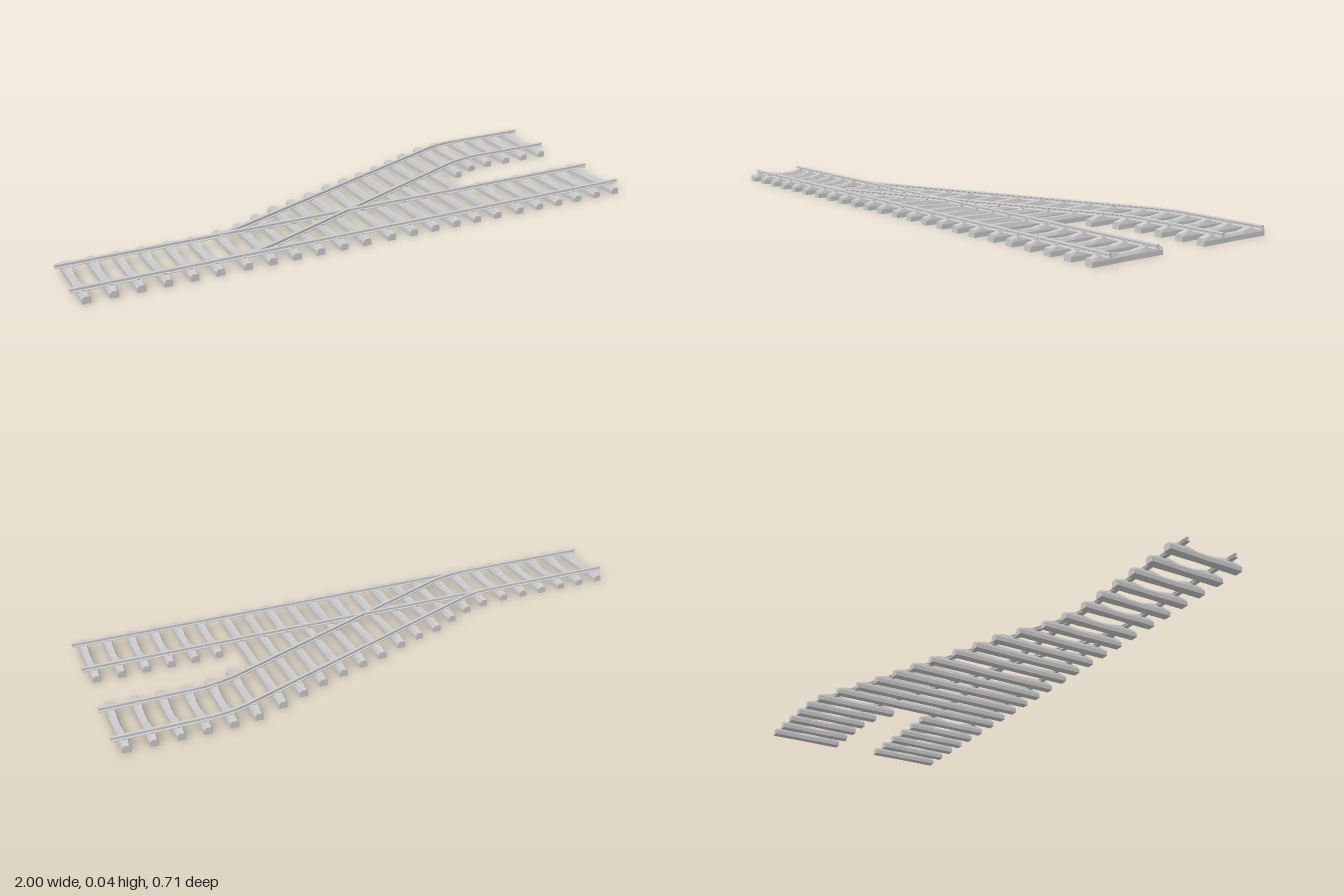
import * as THREE from 'three';

const material = new THREE.MeshStandardMaterial({ color: 0xcccccc, flatShading: true });

// Lofts rings of [side, height] along a ground path of [x, z] points, capped at both ends
function loft(path, ringAt) {
  const pos = [];
  const rings = path.map(([x, z], i) => {
    const a = path[Math.max(i - 1, 0)], b = path[Math.min(i + 1, path.length - 1)];
    const d = new THREE.Vector2(b[0] - a[0], b[1] - a[1]).normalize();
    return ringAt(i).map(([s, y]) => [x - s * d.y, y, z + s * d.x]);
  });
  const n = rings[0].length;
  for (let k = 0; k < rings.length - 1; k++) {
    const a = rings[k], b = rings[k + 1];
    for (let i = 0; i < n; i++) {
      const j = (i + 1) % n;
      pos.push(...a[i], ...b[i], ...b[j], ...a[i], ...b[j], ...a[j]);
    }
  }
  const last = rings.length - 1;
  const outline = ringAt(0).map(([s, y]) => new THREE.Vector2(s, y));
  for (const [p, q, r] of THREE.ShapeUtils.triangulateShape(outline, [])) {
    pos.push(...rings[0][p], ...rings[0][q], ...rings[0][r]);
    pos.push(...rings[last][r], ...rings[last][q], ...rings[last][p]);
  }
  const g = new THREE.BufferGeometry();
  g.setAttribute('position', new THREE.Float32BufferAttribute(pos, 3));
  g.computeVertexNormals();
  return g;
}

function add(parent, name, geometry) {
  const mesh = new THREE.Mesh(geometry, material);
  mesh.name = name;
  parent.add(mesh);
  return mesh;
}

// Rail section: wide foot, thin web, rounded head; listed counter-clockwise
const half = [[0.008, 0.025], [0.008, 0.027], [0.0025, 0.029], [0.0025, 0.033],
  [0.0055, 0.0345], [0.0055, 0.038], [0.004, 0.0392]];
const railRing = [...half, ...half.map(([s, y]) => [-s, y]).reverse()];

// Diverging rail: a straight slope with an eased bend at each end
function divergingPath(start, xa, za, xb, zb, ease) {
  const slope = (zb - za) / (xb - xa);
  const bend = (x, z, inSlope, outSlope) => new THREE.QuadraticBezierCurve(
    new THREE.Vector2(x - ease, z - ease * inSlope),
    new THREE.Vector2(x, z),
    new THREE.Vector2(x + ease, z + ease * outSlope),
  ).getPoints(8).map((p) => [p.x, p.y]);
  const path = [...bend(xa, za, 0, slope), ...bend(xb, zb, slope, 0), [1, zb]];
  return path.filter(([x]) => x >= start);
}

function zOnPath(path, x) {
  for (let i = 0; i < path.length - 1; i++) {
    const [x0, z0] = path[i], [x1, z1] = path[i + 1];
    if (x >= x0 && x <= x1) return z0 + (z1 - z0) * (x - x0) / (x1 - x0);
  }
  return null;
}

// Sleeper: bevelled block, sloped at its ends and waisted in the middle
function sleeperGeometry(x, zBack, zFront) {
  const len = zFront - zBack;
  const dip = len > 0.3 ? 0.026 : 0.0235;
  const stations = [ // z, top height, top half width
    [zBack, 0.023, 0.009], [zBack + 0.035, 0.03, 0.009], [zBack + 0.065, 0.03, 0.009],
    [zBack + len / 2 - 0.025, dip, 0.0075], [zBack + len / 2 + 0.025, dip, 0.0075],
    [zFront - 0.065, 0.03, 0.009], [zFront - 0.035, 0.03, 0.009], [zFront, 0.023, 0.009],
  ];
  return loft(stations.map(([z]) => [x, z]), (i) => {
    const [, y, w] = stations[i];
    const b = w + 0.005;
    return [[-b, 0], [b, 0], [b, 0.015], [w, y], [-w, y], [-b, 0.015]];
  });
}

export function createModel() {
  const model = new THREE.Group();
  model.name = 'railwayTurnout';

  // Rails
  const paths = {
    mainRailFront: [[-1, 0.315], [1, 0.315]],
    mainRailBack: [[-1, 0.134], [1, 0.134]],
    branchRailFront: divergingPath(-0.52, -0.42, 0.315, 0.62, -0.136, 0.09),
    branchRailBack: divergingPath(-0.52, -0.45, 0.134, 0.63, -0.316, 0.07),
  };
  const rails = new THREE.Group();
  rails.name = 'rails';
  for (const [name, path] of Object.entries(paths)) add(rails, name, loft(path, () => railRing));
  model.add(rails);

  // Sleepers: 24 positions in four panels of six, growing longer through the switch
  const front = 0.357, back = 0.087;
  const longBacks = [0.075, 0.051, 0.008, -0.037, -0.064, -0.096,
    -0.139, -0.168, -0.197, -0.229, -0.267, -0.307];
  const sleepers = new THREE.Group();
  sleepers.name = 'sleepers';
  const clips = new THREE.Group();
  clips.name = 'railClips';
  const clipGeometry = new THREE.BoxGeometry(0.011, 0.008, 0.007);

  function addSleeper(name, x, zBack, zFront) {
    add(sleepers, name, sleeperGeometry(x, zBack, zFront));
    // A clip on each side of every rail crossing this sleeper
    for (const path of Object.values(paths)) {
      const z = zOnPath(path, x);
      if (z === null || z < zBack + 0.015 || z > zFront - 0.015) continue;
      for (const side of [-1, 1]) {
        add(clips, 'railClip', clipGeometry).position.set(x, 0.0285, z + side * 0.0115);
      }
    }
  }

  for (let i = 0; i < 24; i++) {
    const x = -0.9625 + 0.504 * Math.floor(i / 6) + 0.0825 * (i % 6);
    if (i >= 6 && i < 18) {
      addSleeper('switchSleeper', x, longBacks[i - 6], front);
    } else {
      addSleeper('mainSleeper', x, back, front);
    }
    if (i >= 18) {
      const [b, f] = [[-0.344, -0.035], [-0.355, -0.072]][i - 18] || [-0.357, -0.084];
      addSleeper('branchSleeper', x, b, f);
    }
  }
  model.add(sleepers, clips);
  return model;
}
